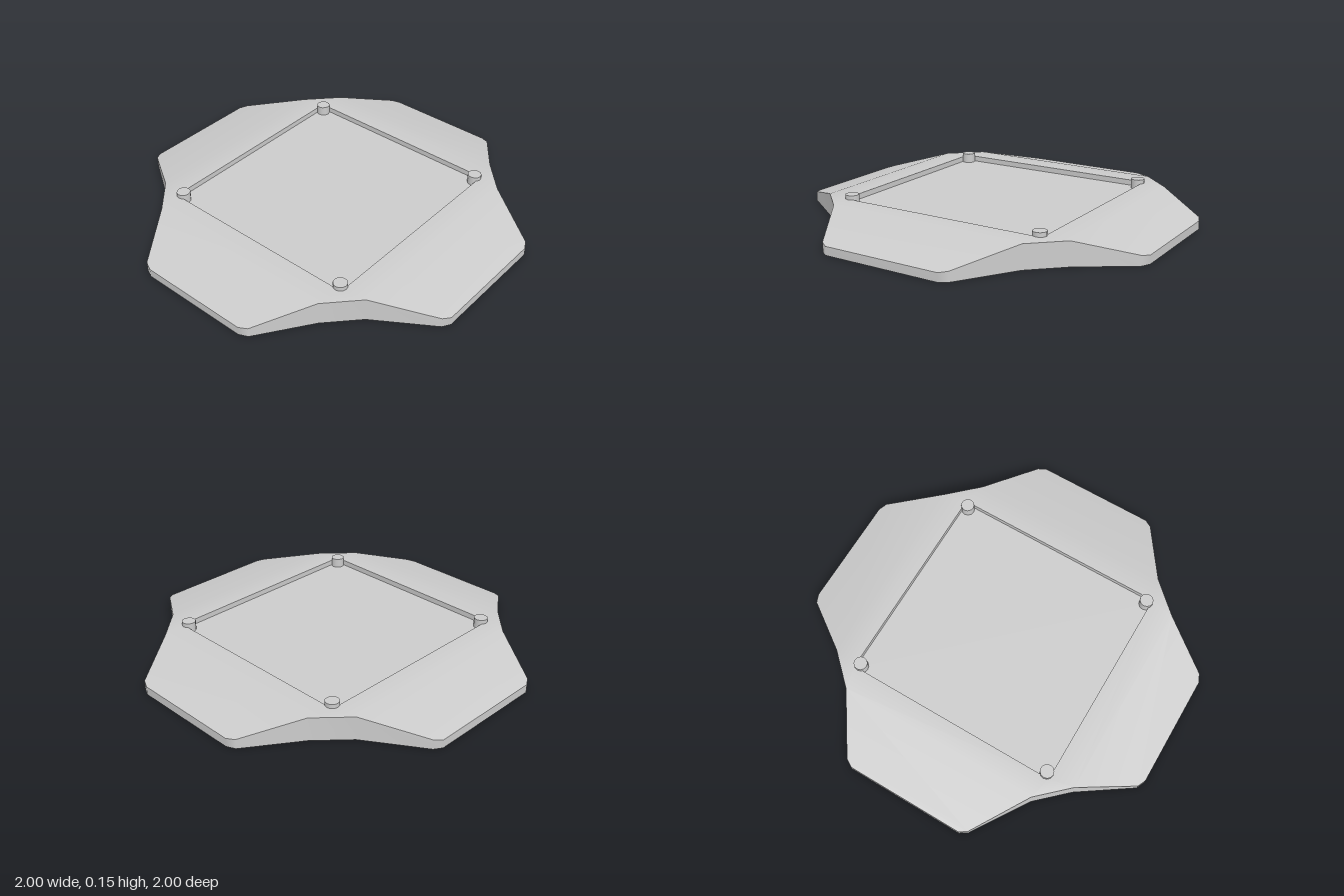
import * as THREE from 'three';
import { mergeGeometries, mergeVertices } from 'three/addons/utils/BufferGeometryUtils.js';

const TOP = 0.125, EDGE = 0.045, PANEL_Y = 0.096;
const KX = 0.71, KZ = 0.68;      // where the plateau starts to slope down
const PX = 0.58, PZ = 0.557;     // half size of the recessed panel

// One quarter of the outline, from the +x arm round to the +z arm
const quarter = [[1, 0.30], [0.98, 0.345], [KX, 0.53], [0.55, KZ], [0.36, 0.975], [0.32, 1]];

// Mirror the quarter into the full closed outline
function fullOutline() {
  const back = quarter.slice().reverse();
  return [
    ...quarter,
    ...back.map(([x, z]) => [-x, z]),
    ...quarter.map(([x, z]) => [-x, -z]),
    ...back.map(([x, z]) => [x, -z]),
  ];
}

// Height of the top skin: flat in the middle, ramping down on each arm
function height(x, z) {
  const rx = Math.max(0, (Math.abs(x) - KX) / (1 - KX));
  const rz = Math.max(0, (Math.abs(z) - KZ) / (1 - KZ));
  return TOP - (TOP - EDGE) * Math.max(rx, rz);
}

// Flat polygon laid on the height rule
function skin(points, hole) {
  const toV = ([x, z]) => new THREE.Vector2(x, -z);
  const shape = new THREE.Shape(points.map(toV));
  if (hole) shape.holes.push(new THREE.Path(hole.map(toV)));
  const geo = new THREE.ShapeGeometry(shape).rotateX(-Math.PI / 2);
  const p = geo.attributes.position;
  for (let i = 0; i < p.count; i++) p.setY(i, height(p.getX(i), p.getZ(i)));
  geo.deleteAttribute('uv');
  geo.deleteAttribute('normal');
  return geo;
}

// Closed vertical band between a top height rule and a bottom level
function band(points, topAt, bottom, smooth) {
  const pos = [], idx = [], n = points.length;
  points.forEach(([x, z]) => pos.push(x, topAt(x, z), z, x, bottom, z));
  for (let i = 0; i < n; i++) {
    const a = 2 * i, b = 2 * ((i + 1) % n);
    idx.push(a, b, a + 1, b, b + 1, a + 1);
  }
  let geo = new THREE.BufferGeometry();
  geo.setAttribute('position', new THREE.Float32BufferAttribute(pos, 3));
  geo.setIndex(idx);
  if (!smooth) geo = geo.toNonIndexed();
  geo.computeVertexNormals();
  return geo;
}

export function createModel() {
  const model = new THREE.Group();
  const material = new THREE.MeshStandardMaterial({ color: 0xcccccc, side: THREE.DoubleSide });
  const add = (name, geo) => {
    const mesh = new THREE.Mesh(geo, material);
    mesh.name = name;
    model.add(mesh);
    return mesh;
  };

  // Top skin: plateau with a square opening, plus four sloping arms
  const opening = [[PX, PZ], [-PX, PZ], [-PX, -PZ], [PX, -PZ]];
  const plateau = fullOutline().filter(([x, z]) => Math.abs(x) <= KX && Math.abs(z) <= KZ);
  const pieces = [skin(plateau, opening)];
  const sideArm = quarter.slice(0, 3), endArm = quarter.slice(3);
  for (const s of [1, -1]) {
    pieces.push(skin([...sideArm.map(([x, z]) => [s * x, z]),
      ...sideArm.slice().reverse().map(([x, z]) => [s * x, -z])]));
    pieces.push(skin([...endArm.map(([x, z]) => [x, s * z]),
      ...endArm.slice().reverse().map(([x, z]) => [-x, s * z])]));
  }
  const top = mergeVertices(mergeGeometries(pieces));
  top.computeVertexNormals();
  add('topSkin', top);

  // Outer skirt down to the ground, open underneath
  add('outerSkirt', band(fullOutline(), height, 0, true));

  // Recessed panel and the short walls around it
  add('recessWalls', band(opening, () => TOP, PANEL_Y, false));
  const panel = add('recessedPanel', new THREE.PlaneGeometry(2 * PX, 2 * PZ).rotateX(-Math.PI / 2));
  panel.position.y = PANEL_Y;

  // Corner studs: capped on top, hollow from below
  const studTop = 0.147, studBottom = 0.05, r = 0.036;
  for (const sx of [1, -1]) {
    for (const sz of [1, -1]) {
      const stud = new THREE.Group();
      stud.name = 'cornerStud';
      const tube = new THREE.Mesh(
        new THREE.CylinderGeometry(r, r, studTop - studBottom, 12, 1, true), material);
      tube.name = 'studSide';
      tube.position.y = (studTop + studBottom) / 2;
      const cap = new THREE.Mesh(new THREE.CircleGeometry(r, 12).rotateX(-Math.PI / 2), material);
      cap.name = 'studCap';
      cap.position.y = studTop;
      stud.add(tube, cap);
      stud.position.set(sx * 0.555, 0, sz * 0.532);
      model.add(stud);
    }
  }
  return model;
}
